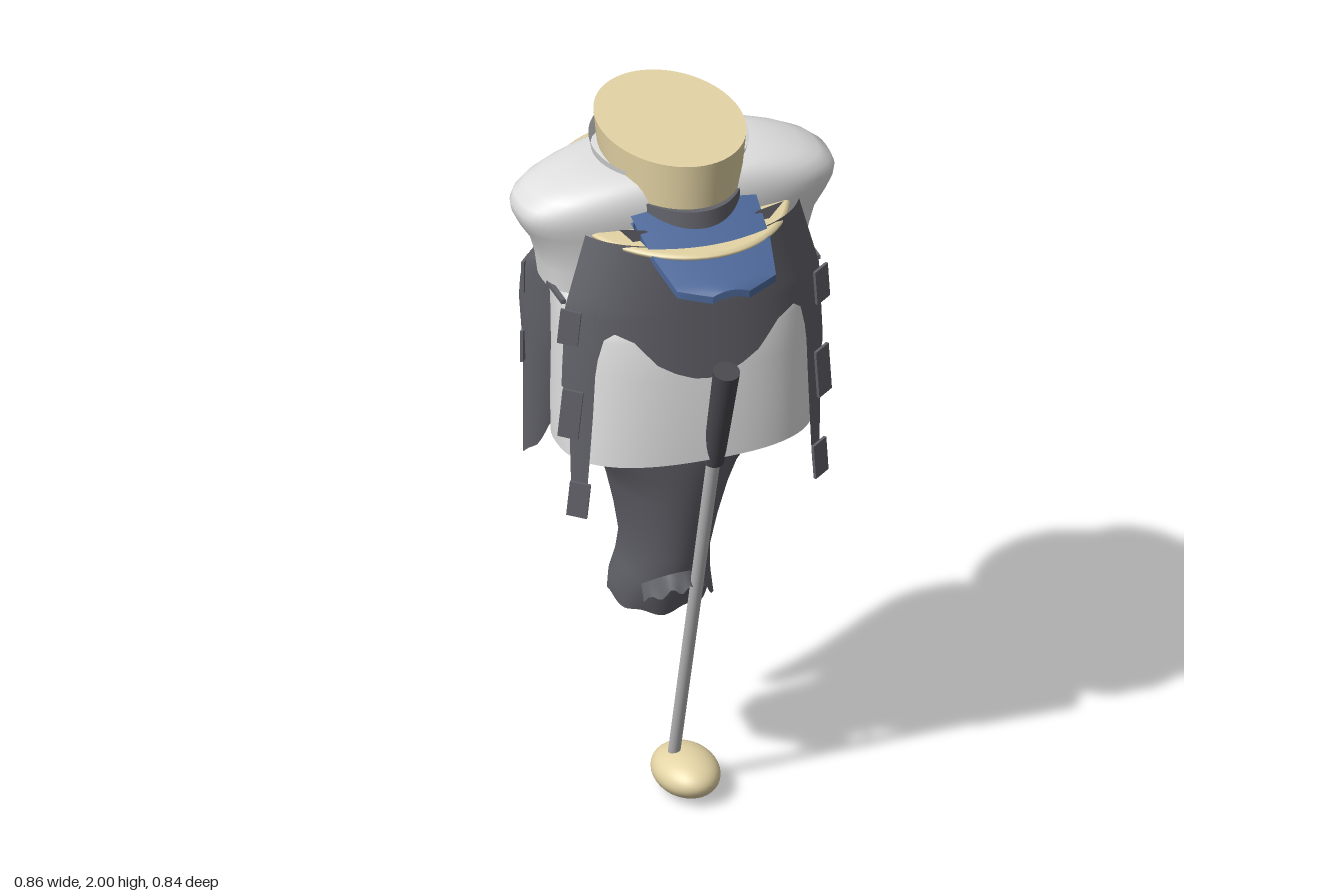
import * as THREE from 'three';

const mat = (name, color) => {
  const m = new THREE.MeshStandardMaterial({ color, side: THREE.DoubleSide });
  m.name = name;
  return m;
};

// Grid surface from fn(u, v) -> [x, y, z]; closed grids wrap around in u
function grid(fn, nu, nv, closed = false) {
  const pos = [], idx = [], cols = closed ? nu : nu + 1;
  for (let j = 0; j <= nv; j++)
    for (let i = 0; i < cols; i++) pos.push(...fn(i / nu, j / nv));
  for (let j = 0; j < nv; j++)
    for (let i = 0; i < nu; i++) {
      const a = j * cols + i, b = j * cols + (i + 1) % cols;
      idx.push(a, b, b + cols, a, b + cols, a + cols);
    }
  const g = new THREE.BufferGeometry();
  g.setAttribute('position', new THREE.Float32BufferAttribute(pos, 3));
  g.setIndex(idx);
  g.computeVertexNormals();
  return g;
}

// Piecewise linear lookup in rows sorted by their first entry
function lerpRows(rows, t) {
  let k = 0;
  while (k < rows.length - 2 && t > rows[k + 1][0]) k++;
  const a = rows[k], b = rows[k + 1];
  const f = THREE.MathUtils.clamp((t - a[0]) / (b[0] - a[0]), 0, 1);
  return a.map((v, i) => v + (b[i] - v) * f);
}

const signedPow = (v, e) => Math.sign(v) * Math.abs(v) ** e;

// Stacked superellipse sections, rows of [y, centreX, halfWidth, frontZ, backZ];
// hem(x, u) shifts the lowest ring up or down
function loft(rows, n = 2, hem = () => 0) {
  return grid((u, v) => {
    const k = Math.round(v * (rows.length - 1));
    const [y, cx, a, zf, zb] = rows[k];
    const t = u * Math.PI * 2, x = cx + a * signedPow(Math.sin(t), 2 / n);
    return [x, y + (k === 0 ? hem(x, u) : 0),
      (zf + zb) / 2 + (zf - zb) / 2 * signedPow(Math.cos(t), 2 / n)];
  }, 64, rows.length - 1, true);
}

export function createModel() {
  const model = new THREE.Group();
  const dark = mat('charcoal cloth', 0x62626a);
  const white = mat('white cloth', 0xe0e0e0);
  const straw = mat('straw', 0xe4d4a5);
  const blue = mat('blue', 0x4d6899);
  const steel = mat('steel', 0xb8b8ba);
  const grip = mat('dark grip', 0x48484e);
  const red = mat('dark red', 0x3a1414);

  const add = (name, geo, material, x = 0, y = 0, z = 0) => {
    const m = new THREE.Mesh(geo, material);
    m.name = name;
    m.position.set(x, y, z);
    model.add(m);
    return m;
  };

  // Straw hat: oval crown, ribbon and brim
  add('hatCrown', new THREE.CylinderGeometry(1, 0.93, 0.14, 64), straw, 0, 1.93, -0.05).scale.set(0.187, 1, 0.265);
  add('hatRibbon', new THREE.CylinderGeometry(1, 1.02, 0.08, 64), dark, 0, 1.825, -0.05).scale.set(0.172, 1, 0.265);
  add('hatBrim', new THREE.LatheGeometry([[0.5, -0.006], [0.97, -0.011], [1, -0.003], [1, 0.004], [0.97, 0.01], [0.5, 0.008]]
    .map(([x, y]) => new THREE.Vector2(x, y)), 64), straw, 0, 1.787, -0.05).scale.set(0.3, 1, 0.37);
  // Wide ribbon at the back, passing through the brim: [width scale, y, inset]
  const ribbonProfile = [[0.6, 1.745, 0.9], [0.98, 1.745, 0.05], [1, 1.8, 0], [0.62, 1.835, 0.1]];
  add('ribbonBack', grid((u, v) => {
    const s = u * 2 - 1, [w, y, inset] = ribbonProfile[Math.round(v * 3)];
    const z = -0.323 + 0.133 * s * s;
    return [0.28 * s * w, y, z + (-0.17 - z) * inset];
  }, 24, 3), dark);

  // Blue visor, bowed across its width and sloping down to the front
  const visorRows = [[0.13, 0.172], [0.27, 0.16], [0.385, 0.135], [0.42, 0.05]];
  const visorAt = (drop) => (u, v) => {
    const z = 0.13 + 0.29 * v, s = u * 2 - 1;
    return [s * lerpRows(visorRows, z)[1], 1.85 - 0.375 * (z - 0.13) - drop - 0.012 * s * s, z];
  };
  add('visorTop', grid(visorAt(0), 16, 16), blue);
  add('visorUnderside', grid(visorAt(0.02), 16, 16), blue);
  add('visorEdge', grid((u, v) => visorAt(0.02 * v)(u < 0.5 ? 0 : 1, Math.abs(u - 0.5) * 2), 32, 1), blue);
  add('visorFront', grid((u, v) => visorAt(0.02 * v)(u, 1), 8, 1), blue);

  // Nape under the brim
  add('nape', new THREE.SphereGeometry(1, 32, 20), red, 0, 1.71, -0.19).scale.set(0.09, 0.125, 0.1);

  // White shoulders and the standing collar
  add('shoulders', loft([
    [1.6, 0, 0.355, 0.112, -0.19], [1.66, 0, 0.363, 0.115, -0.19], [1.72, 0, 0.38, 0.12, -0.195],
    [1.77, 0, 0.413, 0.126, -0.2], [1.8, 0, 0.428, 0.13, -0.2], [1.825, 0, 0.432, 0.132, -0.2],
    [1.85, 0, 0.422, 0.132, -0.2], [1.875, 0, 0.39, 0.128, -0.2], [1.895, 0, 0.34, 0.12, -0.2],
    [1.91, 0, 0.28, 0.11, -0.2], [1.92, 0, 0.22, 0.09, -0.195], [1.922, 0, 0.15, 0.05, -0.16],
  ], 2.8), white);
  add('collar', grid((u, v) => {
    const t = u * Math.PI * 2, z = -0.06 + 0.2 * Math.cos(t);
    return [(0.2 + 0.008 * v) * Math.sin(t), 1.915 + v * (0.035 - 0.12 * (z + 0.06)), z];
  }, 64, 2, true), white);

  // White torso, open at the hem
  add('shirt', loft([
    [1.15, 0, 0.34, 0.25, -0.18], [1.25, 0, 0.34, 0.247, -0.185], [1.4, 0, 0.335, 0.237, -0.19],
    [1.5, 0, 0.335, 0.225, -0.19], [1.57, 0, 0.335, 0.2, -0.19], [1.61, 0, 0.335, 0.12, -0.19],
  ], 2.5), white);

  // Dark chest panel: arched over the shirt front, with ragged tails at the sides
  const hem = [[0, 1.395], [0.04, 1.4], [0.09, 1.42], [0.14, 1.45], [0.2, 1.52], [0.25, 1.545],
    [0.275, 1.525], [0.29, 1.45], [0.295, 1.3], [0.3, 1.2], [0.305, 1.1], [0.312, 1.02], [0.328, 1.03],
    [0.332, 1.08], [0.34, 1.09], [0.343, 1.24], [0.35, 1.25], [0.352, 1.36], [0.36, 1.37]];
  const girth = [[1, 0.39], [1.15, 0.39], [1.4, 0.388], [1.6, 0.378], [1.8, 0.318]];
  add('chestPanel', grid((u, v) => {
    const t = (u * 2 - 1) * 1.137, sx = signedPow(Math.sin(t), 0.87);
    const bottom = lerpRows(hem, 0.39 * Math.abs(sx))[1];
    const y = bottom + (1.8 - bottom) * v;
    return [lerpRows(girth, y)[1] * sx, y, 0.255 * Math.cos(t) ** 0.87];
  }, 140, 24), dark);

  const pointed = new THREE.Shape([[-0.06, 0], [0.02, 0.0], [0.06, 0.045], [-0.01, 0.03]]
    .map(([x, y]) => new THREE.Vector2(x, y)));
  for (const s of [-1, 1]) {
    // Ragged tabs along the jacket opening
    for (const [x, y, z, h] of [[0.345, 1.55, 0.145, 0.1], [0.345, 1.3, 0.155, 0.14], [0.33, 1.055, 0.175, 0.1]]) {
      const tab = add('jacketTab', new THREE.BoxGeometry(0.055, h, 0.008), dark, s * x, y, z);
      tab.rotation.set(0, s * 0.6, s * 0.1);
    }
    // Seam under the arm
    add('armSeam', new THREE.BoxGeometry(0.012, 0.012, 0.15), dark, s * 0.348, 1.608, 0.035);
    // Ribbon tips either side of the crown
    add('ribbonTip', new THREE.ShapeGeometry(pointed), dark, s * 0.165, 1.795, 0.19).scale.x = s;

    // Rounded back of the jacket, its hem dropping to a tail at the outer side
    add('jacketBack', loft([
      [1.14, s * 0.15, 0.2, -0.12, -0.265], [1.2, s * 0.145, 0.205, -0.1, -0.285],
      [1.3, s * 0.135, 0.215, -0.06, -0.322], [1.38, s * 0.13, 0.225, -0.03, -0.348],
      [1.46, s * 0.13, 0.23, -0.02, -0.36], [1.52, s * 0.13, 0.23, -0.02, -0.343],
      [1.57, s * 0.13, 0.225, -0.02, -0.312], [1.6, s * 0.13, 0.22, -0.03, -0.275],
      [1.615, s * 0.13, 0.205, -0.05, -0.21], [1.617, s * 0.13, 0.05, -0.1, -0.15],
    ], 1.65, (x, u) => -0.12 * THREE.MathUtils.smoothstep(s * x, 0.27, 0.33) + 0.012 * Math.sin(u * 40)), dark);
    // Stepped rear tabs
    for (const [y, z] of [[1.54, -0.18], [1.33, -0.19]]) {
      const tab = add('rearTab', new THREE.BoxGeometry(0.008, 0.09, 0.05), dark, s * 0.347, y, z);
      tab.rotation.y = s * 0.7;
    }
  }

  // Trouser leg with a ragged, open cuff
  add('trouserLeg', loft([
    [0.565, 0, 0.128, -0.015, -0.285], [0.62, 0, 0.13, 0.015, -0.275], [0.68, 0, 0.118, 0.045, -0.262],
    [0.75, 0, 0.112, 0.065, -0.25], [0.85, 0, 0.13, 0.09, -0.258], [0.95, 0, 0.155, 0.115, -0.262],
    [1.02, 0, 0.18, 0.13, -0.25], [1.1, 0, 0.24, 0.145, -0.24], [1.16, 0, 0.28, 0.15, -0.235],
    [1.3, 0, 0.27, 0.14, -0.24], [1.5, 0, 0.22, 0.12, -0.24], [1.61, 0, 0.2, 0.1, -0.21],
  ], 2, (x, u) => 0.007 * Math.sin(u * 44) + 0.006 * Math.sin(u * 19)), dark);
  // Small torn flap on the shin
  add('shinFlap', grid((u, v) => {
    const s = u * 2 - 1;
    return [-0.01 + 0.095 * s, 0.735 - 0.05 * s * s - 0.045 * v + 0.01 * Math.sin(u * 25) * v,
      0.085 - 0.06 * s * s + 0.02 * v];
  }, 20, 3), dark);

  // Club: grip, shaft and egg-shaped head
  const rod = (name, a, b, r1, r2, material) => {
    const p = new THREE.Vector3(...a), q = new THREE.Vector3(...b), d = q.clone().sub(p);
    const m = add(name, new THREE.CylinderGeometry(r2, r1, d.length(), 24), material, ...p.clone().add(q).multiplyScalar(0.5).toArray());
    m.quaternion.setFromUnitVectors(new THREE.Vector3(0, 1, 0), d.normalize());
  };
  rod('clubGrip', [0.022, 1.13, 0.222], [0.022, 1.445, 0.322], 0.028, 0.035, grip);
  rod('clubShaft', [0.024, 0.09, -0.09], [0.022, 1.14, 0.225], 0.016, 0.018, steel);
  add('clubHead', new THREE.SphereGeometry(1, 40, 24), straw, 0.05, 0.058, -0.07).scale.set(0.086, 0.058, 0.12);

  return model;
}
